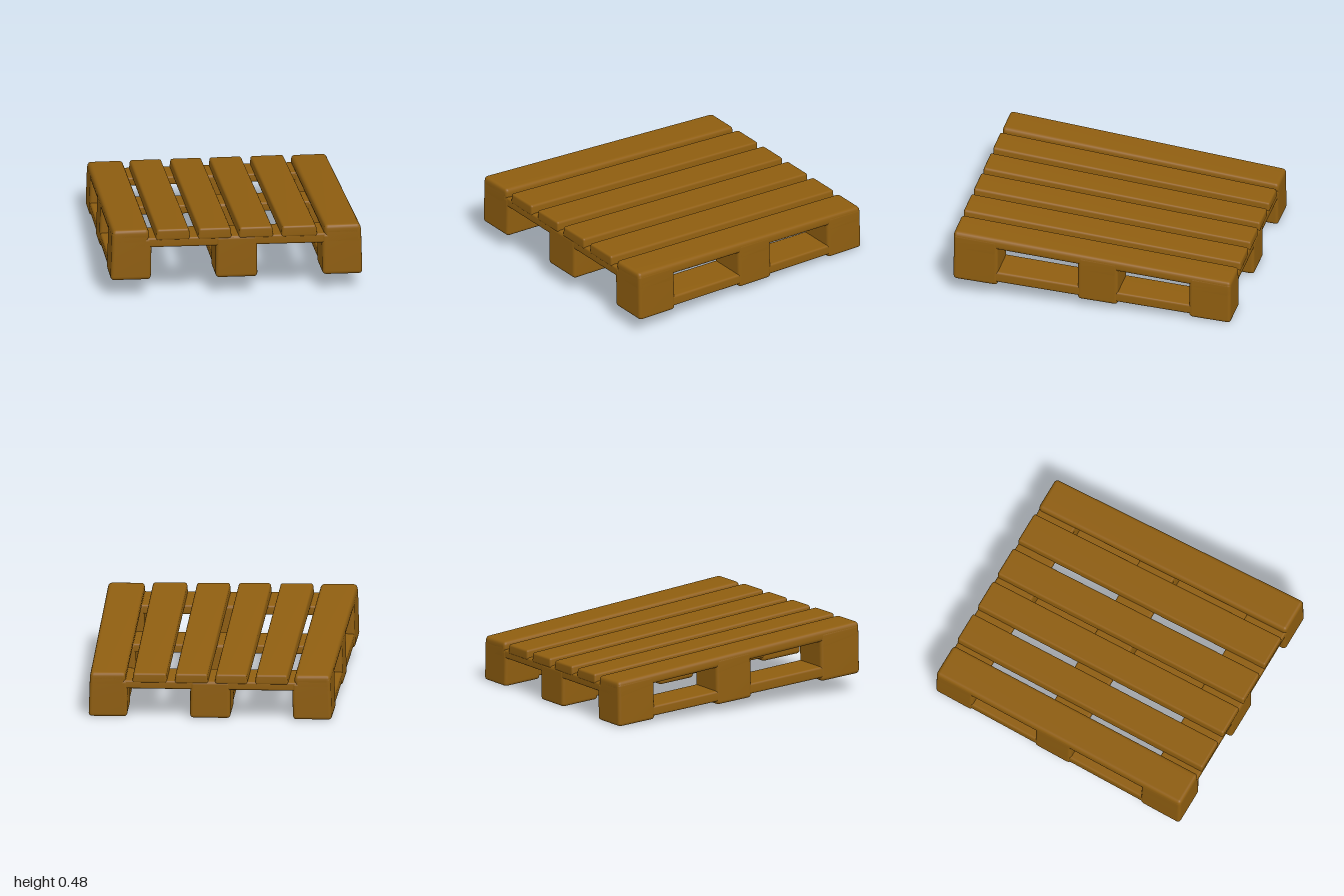
import * as THREE from 'three';
import { RoundedBoxGeometry } from 'three/addons/geometries/RoundedBoxGeometry.js';
import { mergeVertices } from 'three/addons/utils/BufferGeometryUtils.js';

const HX = 0.85, HZ = 0.965, H = 0.33; // straight pallet: half width, half length, height

// Plan corners of the crooked pallet: [x, z]
const BL = [-0.87, -0.945], BR = [0.785, -1.0], FL = [-0.85, 0.995], FR = [0.872, 0.93];

// Skews a point of the straight pallet into the crooked, sloping one
function warp(p) {
  const v = p.y / H;
  const u = (p.x * (1 - 0.012 * v) / HX + 1) / 2;
  const w = (p.z / HZ + 1) / 2;
  const mix = (i) => THREE.MathUtils.lerp(
    THREE.MathUtils.lerp(BL[i], BR[i], u), THREE.MathUtils.lerp(FL[i], FR[i], u), w);
  const x = mix(0), z = mix(1);
  const lean = -0.004 * x * (1 + z);
  const bottom = 0.065 + 0.06 * z + lean, top = 0.4 + 0.086 * z + lean;
  return p.set(x, bottom + v * (top - bottom), z);
}

// Rounded timber from ranges; y is a fraction of the height, taper narrows the top
function timber(name, [x0, x1], [v0, v1], [z0, z1], radius, material, taper = 0) {
  const h = (v1 - v0) * H;
  let g = new RoundedBoxGeometry(x1 - x0, h, z1 - z0, 2, radius);
  const pos = g.attributes.position, p = new THREE.Vector3();
  for (let i = 0; i < pos.count; i++) {
    p.fromBufferAttribute(pos, i);
    p.x -= Math.sign(p.x) * taper * (p.y / h + 0.5);
    p.x += (x0 + x1) / 2;
    p.y += (v0 + v1) / 2 * H;
    p.z += (z0 + z1) / 2;
    warp(p);
    pos.setXYZ(i, p.x, p.y, p.z);
  }
  g.deleteAttribute('normal');
  g.deleteAttribute('uv');
  g.clearGroups();
  g = mergeVertices(g, 1e-5);
  g.computeVertexNormals();
  const mesh = new THREE.Mesh(g, material);
  mesh.name = name;
  return mesh;
}

export function createModel() {
  const wood = new THREE.MeshStandardMaterial({ color: 0x8f5e10 });
  wood.name = 'brown wood';
  const model = new THREE.Group();
  model.name = 'pallet';
  const add = (...args) => model.add(timber(...args));

  const columns = [[-HX, -0.578], [-0.141, 0.141], [0.58, HX]];
  const rows = [[-HZ, -0.675], [-0.18, 0.1], [0.655, HZ]];

  // Top slats
  const slats = [[-HX, -0.594], [-0.552, -0.317], [-0.265, -0.033],
    [0.013, 0.251], [0.304, 0.55], [0.595, HX]];
  slats.forEach((x, i) => {
    const outer = i === 0 || i === 5;
    add('topSlat', x, [0.775, 1], [-HZ, HZ], outer ? 0.026 : 0.016, wood, outer ? 0.003 : 0.007);
  });

  // Cross planks under the slats
  for (const z of rows) {
    add('crossPlank', [-HX + 0.005, HX - 0.005], [0.64, 0.83], [z[0] + 0.004, z[1] - 0.004], 0.014, wood);
  }

  // Blocks, with fillers carrying the outer ones up into the edge slats
  columns.forEach((x, i) => {
    for (const z of rows) {
      add('block', x, [0, 0.83], z, 0.024, wood);
      if (i === 0) add('cornerFiller', [-HX, -0.6], [0.6, 0.96], z, 0.024, wood);
      if (i === 2) add('cornerFiller', [0.6, HX], [0.6, 0.96], z, 0.024, wood);
    }
    // Bottom runner joining the blocks of this column
    add('bottomRunner', [x[0] + 0.004, x[1] - 0.004], [0.07, 0.29], [-HZ + 0.03, HZ - 0.03], 0.016, wood);
  });

  return model;
}
